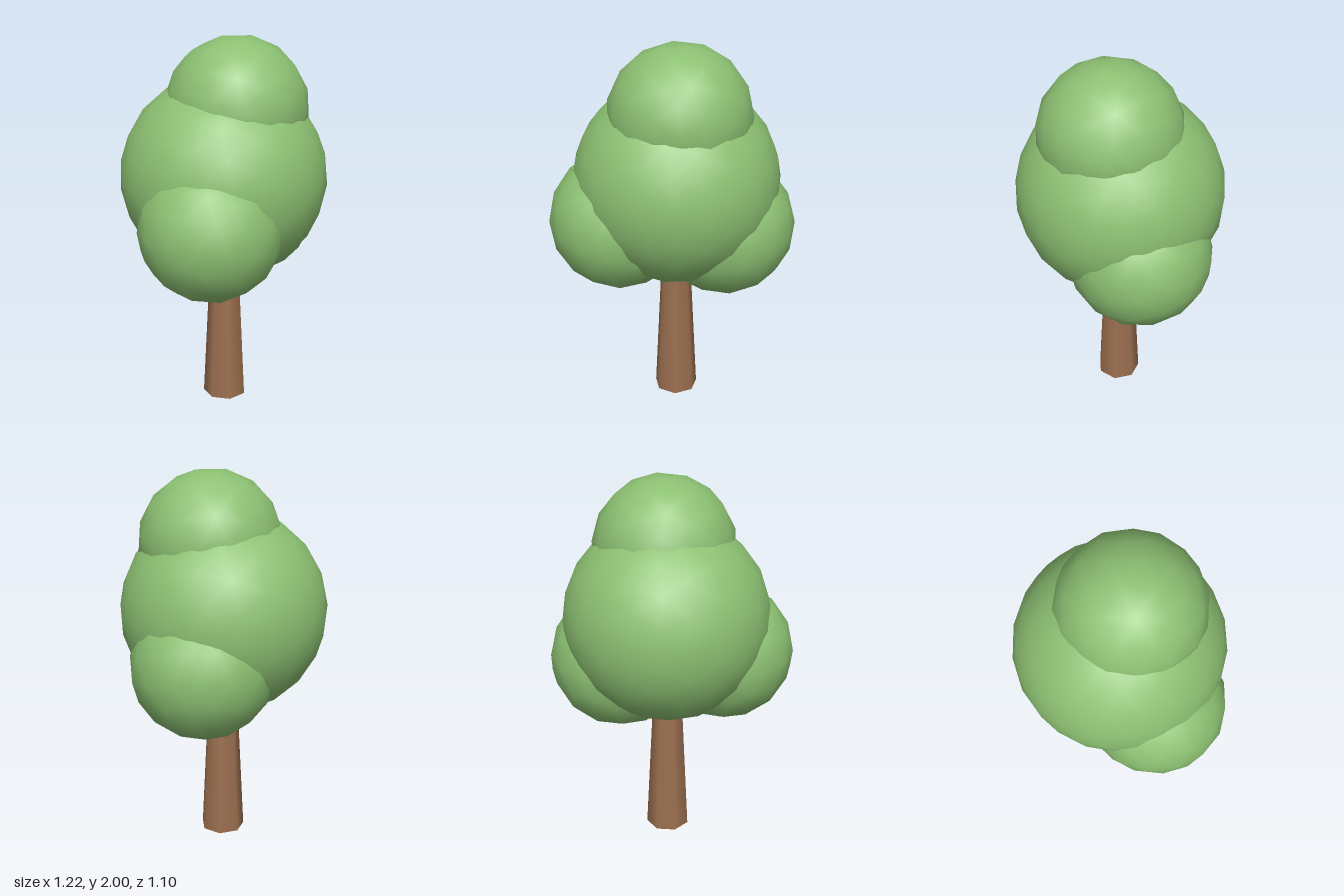
import * as THREE from 'three';

export function createModel() {
  const tree = new THREE.Group();
  tree.name = 'tree';

  const leafGreen = new THREE.MeshStandardMaterial({ color: 0x8cc072 });
  leafGreen.name = 'leafGreen';
  const barkBrown = new THREE.MeshStandardMaterial({ color: 0x9c7050 });
  barkBrown.name = 'barkBrown';

  // Seven-sided tapering trunk, running up into the crown
  const trunk = new THREE.Mesh(new THREE.CylinderGeometry(0.07, 0.12, 1, 7), barkBrown);
  trunk.name = 'trunk';
  trunk.position.y = 0.5;
  trunk.rotation.y = Math.PI;
  tree.add(trunk);

  // Rounded leaf clumps: name, centre, radius, subdivision, turn
  const clumps = [
    ['mainCrown', [0, 1.27, -0.01], 0.545, 3, 0.2],
    ['topCrown', [0.045, 1.63, 0.04], 0.375, 2, 0.5],
    ['lowerRightCrown', [-0.24, 1.07, 0.18], 0.372, 2, 1.1],
    ['lowerLeftCrown', [0.235, 1.03, -0.1], 0.377, 2, 1.9],
  ];
  for (const [name, centre, radius, detail, turn] of clumps) {
    const clump = new THREE.Mesh(new THREE.IcosahedronGeometry(radius, detail), leafGreen);
    clump.name = name;
    clump.position.set(...centre);
    clump.rotation.set(turn * 0.4, turn, 0);
    tree.add(clump);
  }

  return tree;
}
